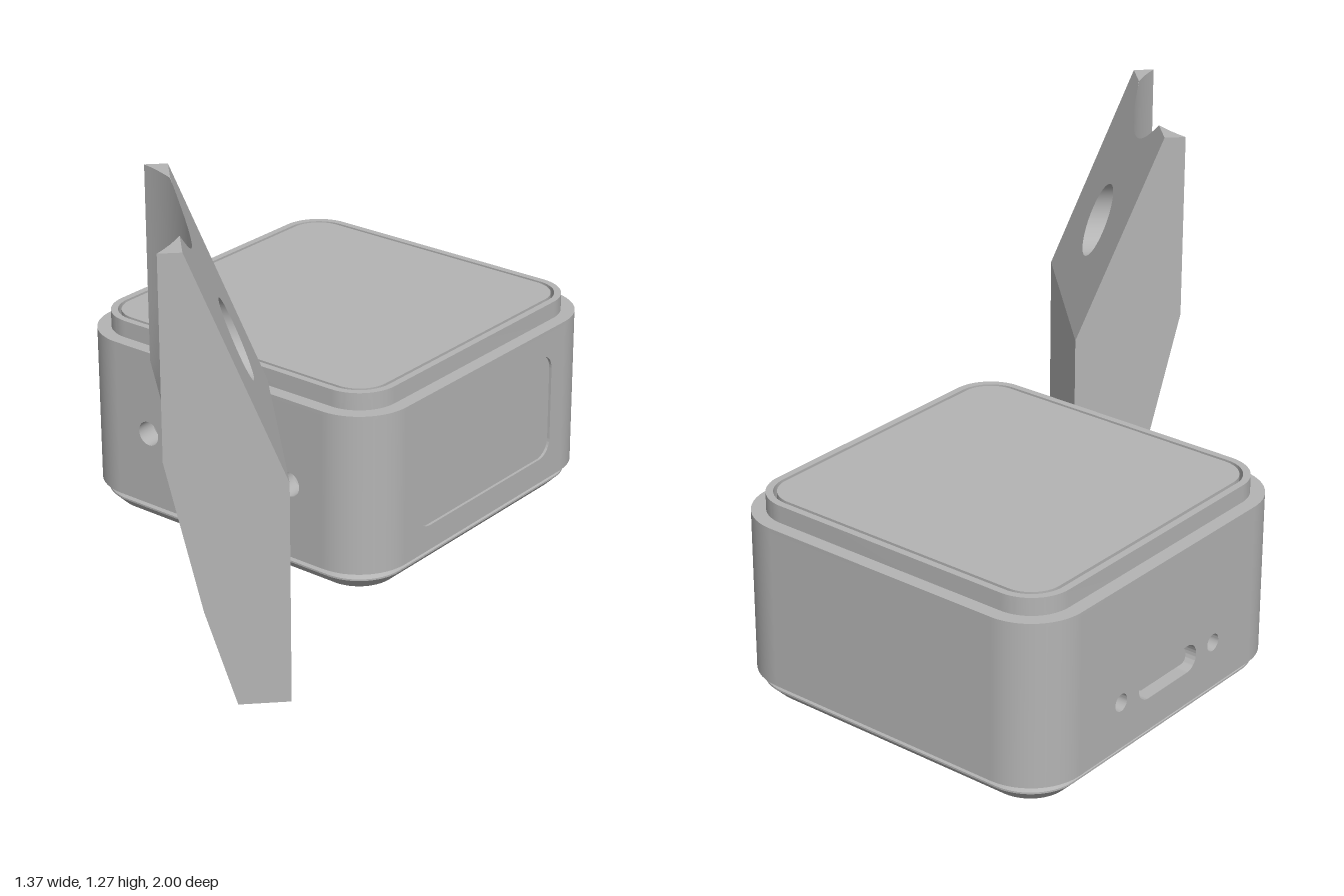
import * as THREE from 'three';
import { toCreasedNormals } from 'three/addons/utils/BufferGeometryUtils.js';

const grey = new THREE.MeshStandardMaterial({ color: 0xb4b4b4 });
grey.name = 'plain grey';

function add(parent, name, geometry, x = 0, y = 0, z = 0) {
  const mesh = new THREE.Mesh(geometry, grey);
  mesh.name = name;
  mesh.position.set(x, y, z);
  parent.add(mesh);
  return mesh;
}

// Rounded rectangle outline, w and h are half sizes
function roundRect(w, h, r, cx = 0, cy = 0, Type = THREE.Shape) {
  const s = new Type();
  s.absarc(cx + w - r, cy + h - r, r, 0, Math.PI / 2);
  s.absarc(cx - w + r, cy + h - r, r, Math.PI / 2, Math.PI);
  s.absarc(cx - w + r, cy - h + r, r, Math.PI, Math.PI * 1.5);
  s.absarc(cx + w - r, cy - h + r, r, Math.PI * 1.5, Math.PI * 2);
  s.closePath();
  return s;
}

const hole = (x, y, r) => new THREE.Path().absarc(x, y, r, 0, Math.PI * 2, true);

function extrude(shape, depth, options = {}) {
  const g = new THREE.ExtrudeGeometry(shape, { depth, bevelEnabled: false, curveSegments: 12, ...options });
  return toCreasedNormals(g, 0.5);
}

// Horizontal slab with its underside at y = 0
const slab = (shape, depth, options) => extrude(shape, depth, options).rotateX(-Math.PI / 2);

function createCase() {
  const box = new THREE.Group();
  box.name = 'case';
  const H = 0.53, R = 0.16, C = H - R, low = 0.065, high = 0.525;

  // Four walls: screen side, plain side, slot side, round socket side
  const openings = [
    [roundRect(0.31, 0.16, 0.05, 0, 0.3, THREE.Path)],
    [],
    [roundRect(0.125, 0.04, 0.0399, 0, 0.2, THREE.Path), hole(-0.2, 0.2, 0.025), hole(0.2, 0.2, 0.025)],
    [hole(0, 0.285, 0.085), hole(-0.255, 0.285, 0.036), hole(0.255, 0.285, 0.036)],
  ];
  openings.forEach((holes, k) => {
    const side = new THREE.Group();
    side.name = 'side' + (k + 1);
    side.rotation.y = k * Math.PI / 2;
    box.add(side);
    const s = new THREE.Shape([[-C, low], [C, low], [C, high], [-C, high]].map(p => new THREE.Vector2(...p)));
    s.holes.push(...holes);
    add(side, 'wall', extrude(s, 0.06), 0, 0, H - 0.06);
    add(side, 'roundedCorner',
      new THREE.CylinderGeometry(R, R, high - low, 12, 1, false, 0, Math.PI / 2), C, (low + high) / 2, C);
    if (k === 0) add(side, 'screenPanel', extrude(roundRect(0.31, 0.16, 0.05), 0.03), 0, 0.3, H - 0.038);
    if (k === 2) add(side, 'connector', extrude(roundRect(0.105, 0.022, 0.02), 0.04), 0, 0.2, H - 0.06);
  });

  // Shoulder and lid with a groove around the top panel
  add(box, 'shoulder', slab(roundRect(H, H, R), 0.01), 0, high, 0);
  const rim = roundRect(0.49, 0.49, 0.12);
  rim.holes.push(roundRect(0.47, 0.47, 0.1, 0, 0, THREE.Path));
  add(box, 'lidRim', slab(rim, 0.05), 0, 0.535, 0);
  add(box, 'lidPanel', slab(roundRect(0.46, 0.46, 0.09), 0.05), 0, 0.535, 0);

  // Chamfered base with two mounting holes and four screw recesses
  const corners = [[1, 1], [1, -1], [-1, 1], [-1, -1]].map(([a, b]) => [a * 0.38, b * 0.38]);
  const base = roundRect(0.51, 0.51, 0.14);
  base.holes.push(hole(-0.25, 0, 0.03), hole(0.25, 0, 0.03));
  for (const [x, z] of corners) base.holes.push(hole(x, z, 0.035));
  const bevel = { bevelEnabled: true, bevelSize: 0.035, bevelThickness: 0.035, bevelOffset: -0.035, bevelSegments: 1 };
  const baseMesh = add(box, 'base', slab(base, 0.005, bevel), 0, 0.035, 0);
  // mounting holes lie along the screen wall direction
  baseMesh.rotation.y = Math.PI / 2;
  for (const [x, z] of corners) {
    add(box, 'screwHead', new THREE.CylinderGeometry(0.055, 0.055, 0.03, 20), x, 0.02, z);
    add(box, 'screwCross', new THREE.BoxGeometry(0.07, 0.006, 0.014), x, 0.004, z);
    add(box, 'screwCross', new THREE.BoxGeometry(0.014, 0.006, 0.07), x, 0.004, z);
  }
  box.rotation.y = Math.PI / 4;
  box.position.z = -0.32;
  return box;
}

// Leaning plate: sloped front, scooped back, round through hole
function createStand() {
  const W = 0.303, zc = 0.697, holeY = 0.92, holeR = 0.104, slope = 0.4017, arcR = 0.52;
  const frontX = y => -0.262 - Math.max(0, y - 0.67) * slope;
  const scoop = z => -0.467 - (arcR - Math.sqrt(arcR * arcR - z * z));
  const lean = y => y > 0.74 ? 0 : y > 0.33 ? (0.74 - y) * 0.22 : 0.09 + (0.33 - y) * 0.3;
  const topY = z => Math.min(1.275, 0.67 + (-0.262 - scoop(z)) / slope);

  // Columns across the width, tighter near the rim of the hole
  const zs = [];
  for (let i = 0; i <= 24; i++) zs.push(-holeR * Math.cos(i / 24 * Math.PI));
  for (const z of [0.13, 0.16, 0.18, 0.1975, 0.22, 0.25, 0.28, W]) zs.push(z, -z);
  zs.sort((a, b) => a - b);
  const levels = z => {
    const d = Math.sqrt(Math.max(0, holeR * holeR - z * z));
    return [0.065, 0.33, 0.67, 0.74, holeY - d, holeY + d, topY(z)];
  };

  const pos = [];
  const quad = (a, b, c, d) => pos.push(...a, ...b, ...c, ...a, ...c, ...d);
  const F = (z, y) => [Math.max(frontX(y), scoop(z) + lean(y)), y, zc + z];
  const B = (z, y) => [scoop(z) + lean(y), y, zc + z];
  for (let i = 0; i < zs.length - 1; i++) {
    const p = zs[i], q = zs[i + 1], P = levels(p), Q = levels(q);
    const inHole = Math.abs(p + q) / 2 < holeR;
    for (let j = 0; j < 6; j++) {
      if (j === 4 && inHole) continue;
      quad(F(q, Q[j]), F(p, P[j]), F(p, P[j + 1]), F(q, Q[j + 1]));
      quad(B(p, P[j]), B(q, Q[j]), B(q, Q[j + 1]), B(p, P[j + 1]));
    }
    const up = j => quad(F(q, Q[j]), F(p, P[j]), B(p, P[j]), B(q, Q[j]));
    const down = j => quad(F(p, P[j]), F(q, Q[j]), B(q, Q[j]), B(p, P[j]));
    up(6);
    down(0);
    if (inHole) { up(4); down(5); }
  }
  // Flat side faces
  const L = levels(W);
  for (let j = 0; j < 6; j++) {
    if (j === 4) continue;
    quad(B(W, L[j]), F(W, L[j]), F(W, L[j + 1]), B(W, L[j + 1]));
    quad(F(-W, L[j]), B(-W, L[j]), B(-W, L[j + 1]), F(-W, L[j + 1]));
  }
  const g = new THREE.BufferGeometry();
  g.setAttribute('position', new THREE.Float32BufferAttribute(pos, 3));
  g.computeVertexNormals();
  return toCreasedNormals(g, 0.3);
}

export function createModel() {
  const model = new THREE.Group();
  model.name = 'deviceAndStand';
  model.add(createCase());
  add(model, 'stand', createStand());
  return model;
}
